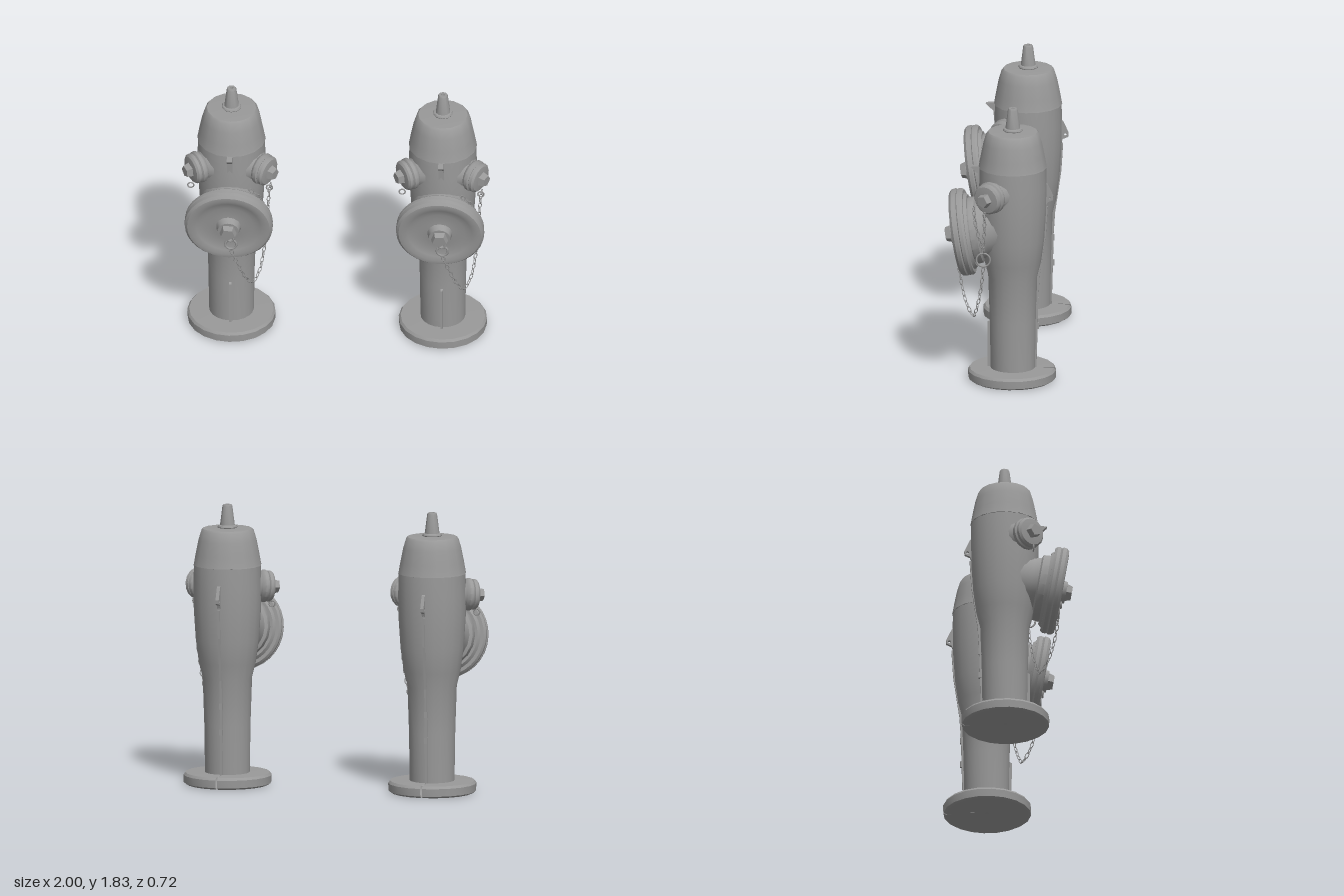
import * as THREE from 'three';
import { toCreasedNormals } from 'three/addons/utils/BufferGeometryUtils.js';

const V = (x, y, z) => new THREE.Vector3(x, y, z);
const UP = V(0, 1, 0);
const AXIS_Z = -0.075;

export function createModel() {
  const iron = new THREE.MeshStandardMaterial({ color: 0x999999, side: THREE.DoubleSide });
  iron.name = 'castIronGrey';

  const add = (parent, name, geometry, x = 0, y = 0, z = 0) => {
    const mesh = new THREE.Mesh(geometry, iron);
    mesh.name = name;
    mesh.position.set(x, y, z);
    parent.add(mesh);
    return mesh;
  };
  // Turned part: profile of [radius, height] listed from bottom to top
  const turned = (profile, sides, start = 0, length = Math.PI * 2) => toCreasedNormals(
    new THREE.LatheGeometry(profile.map(([r, h]) => new THREE.Vector2(r, h)), sides, start, length), 0.65);
  // Flat plate drawn in the z-y plane, centred on x = 0
  const plate = (points, thickness, hole) => {
    const shape = new THREE.Shape(points.map(([z, y]) => new THREE.Vector2(z, y)));
    if (hole) shape.holes.push(new THREE.Path().absarc(hole[0], hole[1], hole[2], 0, Math.PI * 2, true));
    return new THREE.ExtrudeGeometry(shape, { depth: thickness, bevelEnabled: false, curveSegments: 6 })
      .translate(0, 0, -thickness / 2).rotateY(-Math.PI / 2);
  };
  // Group whose own y axis points along a direction
  const aimed = (parent, name, position, direction) => {
    const group = new THREE.Group();
    group.name = name;
    group.position.copy(position);
    group.quaternion.setFromUnitVectors(UP, direction.clone().normalize());
    parent.add(group);
    return group;
  };
  // Row of oval links, every second one turned by a quarter
  const linkGeometry = new THREE.TorusGeometry(0.011, 0.003, 4, 8).scale(1, 1.8, 1);
  const chain = (parent, name, points) => {
    const group = new THREE.Group();
    group.name = name;
    const curve = new THREE.CatmullRomCurve3(points.map(p => V(...p)));
    const count = Math.round(curve.getLength() / 0.037);
    for (let i = 0; i < count; i++) {
      const u = (i + 0.5) / count, p = curve.getPointAt(u);
      const link = add(group, 'chainLink', linkGeometry, p.x, p.y, p.z);
      link.quaternion.setFromUnitVectors(UP, curve.getTangentAt(u));
      link.rotateY((i % 2) * Math.PI / 2 + 0.5);
    }
    parent.add(group);
  };

  const hydrant = new THREE.Group();
  hydrant.name = 'hydrant';

  // Base flange, split at the back, and post with flaring barrel
  add(hydrant, 'baseFlange', turned([[0, 0.02], [0.14, 0.02], [0.17, 0], [0.265, 0], [0.284, 0.012],
    [0.286, 0.062], [0.274, 0.078], [0.13, 0.08]], 20, Math.PI + 0.02, Math.PI * 2 - 0.04), 0, 0, -0.07);
  add(hydrant, 'barrel', turned([[0.145, 0.07], [0.15, 0.4], [0.16, 0.7], [0.185, 0.8], [0.205, 0.95],
    [0.218, 1.15], [0.22, 1.3], [0.217, 1.44]], 20), 0, 0, AXIS_Z);

  // Bonnet and its operating nut
  add(hydrant, 'bonnet', turned([[0.2, 1.432], [0.222, 1.436], [0.219, 1.447], [0.208, 1.51], [0.19, 1.6],
    [0.172, 1.66], [0.16, 1.674], [0, 1.682]], 16), 0, 0, AXIS_Z);
  add(hydrant, 'topNut', turned([[0.06, 1.675], [0.065, 1.684], [0.06, 1.694], [0.048, 1.697],
    [0.032, 1.822], [0.028, 1.83], [0.012, 1.83], [0.01, 1.815], [0, 1.815]], 10), 0, 0, AXIS_Z);

  // Cast lugs and seams
  add(hydrant, 'frontLug', plate([[0.1, 1.442], [0.2, 1.432], [0.15, 1.385], [0.14, 1.28], [0.1, 1.28]], 0.035));
  add(hydrant, 'backLug', plate([[-0.27, 1.34], [-0.3, 1.32], [-0.337, 1.24], [-0.335, 1.215],
    [-0.3, 1.2], [-0.27, 1.12]], 0.022, [-0.316, 1.23, 0.009]));
  add(hydrant, 'frontSeam', plate([[0.05, 0.08], [0.088, 0.08], [0.09, 0.38], [0.05, 0.4]], 0.015));
  add(hydrant, 'backSeam', plate([[-0.2, 0.08], [-0.228, 0.08], [-0.236, 0.36], [-0.24, 0.55],
    [-0.25, 0.7], [-0.29, 0.98], [-0.302, 1.17], [-0.2, 1.17]], 0.015));
  for (const y of [0.36, 0.53]) add(hydrant, 'backSeamStud', new THREE.BoxGeometry(0.02, 0.04, 0.02), 0, y, -0.235);

  // Large front outlet, tipped slightly downwards
  const front = aimed(hydrant, 'frontOutlet', V(0, 0.985, 0.25), V(0, -0.165, 0.986));
  add(front, 'frontNeck', turned([[0.19, -0.27], [0.185, -0.16], [0.195, -0.12], [0.215, -0.11],
    [0.22, -0.07], [0.2, -0.03]], 20));
  add(front, 'frontCap', turned([[0.19, -0.06], [0.235, -0.065], [0.25, -0.045], [0.272, -0.045], [0.284, -0.03],
    [0.284, -0.008], [0.277, -0.002], [0.287, 0.006], [0.284, 0.03], [0.268, 0.046], [0.24, 0.049],
    [0.21, 0.038], [0.16, 0.024], [0.09, 0.03], [0, 0.034]], 32));
  add(front, 'frontNutCollar', turned([[0.082, 0.028], [0.074, 0.055], [0.07, 0.075], [0, 0.077]], 14));
  add(front, 'frontNut', toCreasedNormals(new THREE.CylinderGeometry(0.047, 0.06, 0.04, 5), 0.5), 0, 0.092, 0);

  // Two hose outlets, mirrored
  for (const side of [-1, 1]) {
    const hose = aimed(hydrant, side > 0 ? 'leftOutlet' : 'rightOutlet', V(0, 1.3, AXIS_Z), V(side * 0.85, -0.06, 0.52));
    add(hose, 'hoseNeck', turned([[0.135, 0.15], [0.11, 0.19], [0.088, 0.215], [0.096, 0.222],
      [0.105, 0.235], [0.105, 0.256], [0.094, 0.264]], 16));
    add(hose, 'hoseCap', turned([[0.092, 0.262], [0.1, 0.268], [0.1, 0.288], [0.088, 0.3], [0.06, 0.304], [0, 0.306]], 16));
    add(hose, 'hoseNut', toCreasedNormals(new THREE.CylinderGeometry(0.04, 0.05, 0.045, 5), 0.5), 0, 0.322, 0);
    // Chain eye below each cap
    add(hydrant, 'chainEye', new THREE.TorusGeometry(0.02, 0.005, 5, 10), side * 0.255, 1.165, 0.09);
  }

  // Figure-eight hook under the front nut
  add(hydrant, 'hookLoop', new THREE.TorusGeometry(0.036, 0.008, 6, 14), 0.015, 0.835, 0.275);
  add(hydrant, 'hookEye', new THREE.TorusGeometry(0.02, 0.008, 6, 12), 0.012, 0.89, 0.29);
  // Ring joining the chains on the side of the large outlet
  add(hydrant, 'chainRing', new THREE.TorusGeometry(0.045, 0.006, 6, 16), 0.235, 0.87, 0.1).rotation.y = Math.PI / 2;

  chain(hydrant, 'frontChain', [[0.015, 0.79, 0.275], [0.06, 0.66, 0.255], [0.11, 0.53, 0.215], [0.15, 0.465, 0.17],
    [0.19, 0.53, 0.145], [0.22, 0.68, 0.115], [0.235, 0.82, 0.1]]);
  chain(hydrant, 'sideChain', [[0.235, 0.92, 0.1], [0.245, 1.02, 0.095], [0.255, 1.15, 0.09], [0.265, 1.2, 0.09]]);
  chain(hydrant, 'outletChain', [[0.235, 0.92, 0.1], [0.225, 1.02, 0.13], [0.19, 1.14, 0.16], [0.13, 1.2, 0.17]]);

  // Matching pair
  const model = new THREE.Group();
  model.name = 'hydrantPair';
  const second = hydrant.clone();
  hydrant.position.x = -0.682;
  second.position.x = 0.688;
  model.add(hydrant, second);
  return model;
}
